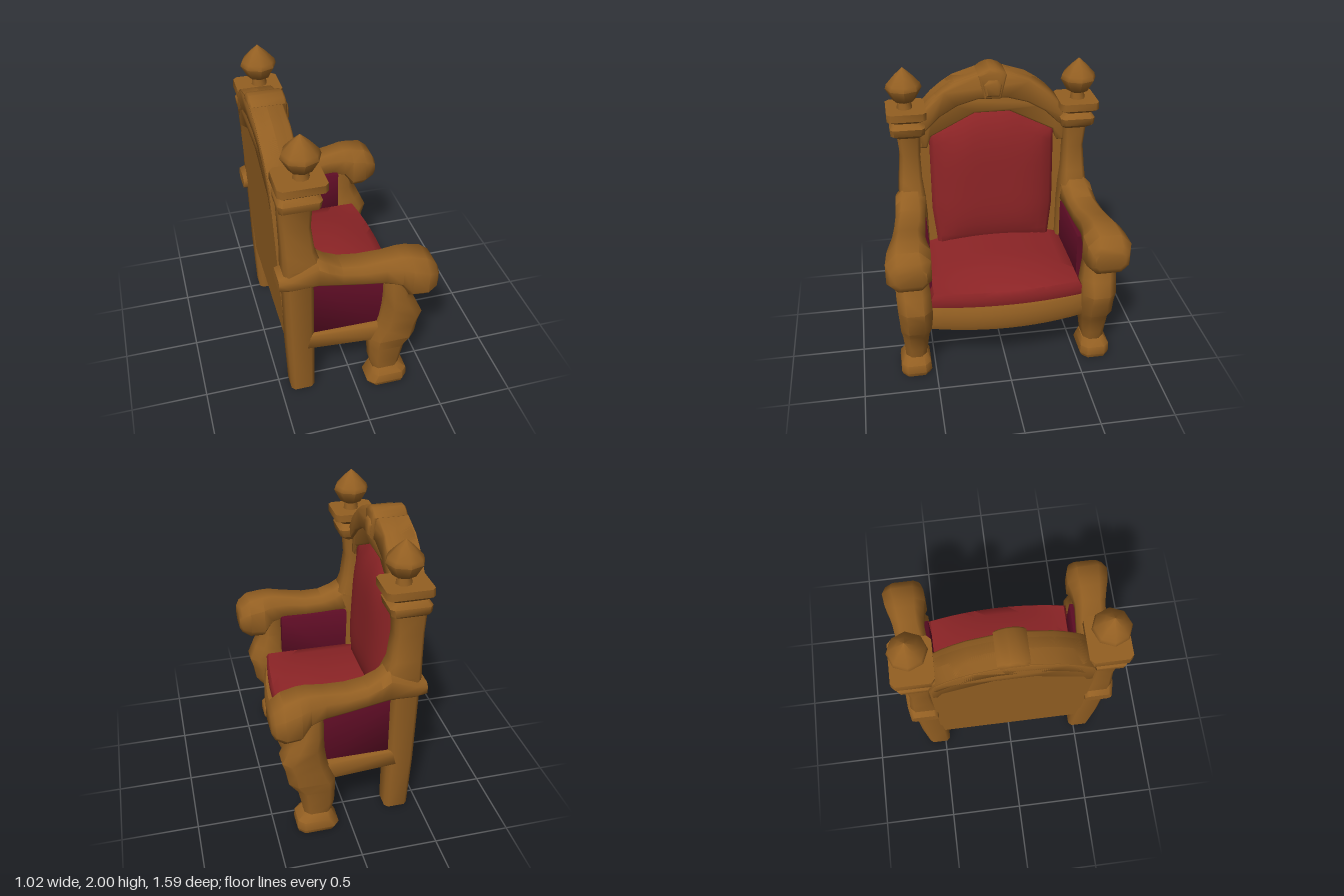
import * as THREE from 'three';
import { toCreasedNormals } from 'three/addons/utils/BufferGeometryUtils.js';

const wood = new THREE.MeshStandardMaterial({ color: 0x935f22 });
wood.name = 'carved wood';
const red = new THREE.MeshStandardMaterial({ color: 0x8c2426 });
red.name = 'red cushion';
const wine = new THREE.MeshStandardMaterial({ color: 0x5c0c24 });
wine.name = 'wine side panel';

// Chamfered-rectangle loft along x or y. Sections are [t, a0, a1, z0, z1],
// where a is the other axis (y or x); side mirrors z.
function loft(axis, side, sections, chamfer = 0.25) {
  const pos = [];
  const rings = sections.map(([t, a0, a1, z0, z1]) => {
    const c = chamfer * Math.min(a1 - a0, z1 - z0);
    const ring = [
      [a1, z0 + c], [a1, z1 - c], [a1 - c, z1], [a0 + c, z1],
      [a0, z1 - c], [a0, z0 + c], [a0 + c, z0], [a1 - c, z0],
    ];
    return ring.map(([a, z]) => (axis === 'x' ? [t, a, z * side] : [a, t, z * side]));
  });
  const flip = (axis === 'y') !== (side < 0);
  const tri = (a, b, c) => (flip ? pos.push(...a, ...c, ...b) : pos.push(...a, ...b, ...c));
  for (let i = 0; i < rings.length - 1; i++) {
    for (let j = 0; j < 8; j++) {
      const k = (j + 1) % 8, p = rings[i], q = rings[i + 1];
      tri(p[j], p[k], q[k]);
      tri(p[j], q[k], q[j]);
    }
  }
  const first = rings[0], last = rings[rings.length - 1];
  for (let j = 1; j < 7; j++) {
    tri(last[0], last[j], last[j + 1]);
    tri(first[0], first[j + 1], first[j]);
  }
  const geo = new THREE.BufferGeometry();
  geo.setAttribute('position', new THREE.Float32BufferAttribute(pos, 3));
  return toCreasedNormals(geo, 0.85);
}

// Moves every vertex of a geometry by a rule
function reshape(geo, rule) {
  const p = geo.attributes.position;
  for (let i = 0; i < p.count; i++) p.setXYZ(i, ...rule(p.getX(i), p.getY(i), p.getZ(i)));
  return toCreasedNormals(geo, 0.85);
}

const lean = (y) => -0.045 * (y - 0.4);

// Leaning board: half outline in (z, y), mirrored, extruded towards +x
function board(half, x0, depth, bevel = 0.012) {
  const mirrored = half.map(([z, y]) => [-z, y]).reverse();
  const shape = new THREE.Shape([...half, ...mirrored].map(([z, y]) => new THREE.Vector2(z, y)));
  const geo = new THREE.ExtrudeGeometry(shape, {
    depth: depth - bevel, bevelEnabled: bevel > 0, bevelThickness: bevel, bevelSize: bevel,
    bevelOffset: -bevel, bevelSegments: 1,
  });
  geo.rotateY(Math.PI / 2);
  return reshape(geo, (x, y, z) => [x0 + x + lean(y), y, z]);
}

export function createModel() {
  const group = new THREE.Group();
  const add = (name, geo, mat) => {
    const mesh = new THREE.Mesh(geo, mat);
    mesh.name = name;
    group.add(mesh);
    return mesh;
  };

  // Backrest: flat board, stepped arch mouldings and keystone
  const outer = [[0.5, 1.6], [0.47, 1.69], [0.4, 1.765], [0.33, 1.82], [0.25, 1.87], [0.09, 1.92]];
  add('backBoard', board([[0.5, 0.39], ...outer], -0.44, 0.1, 0), wood);
  add('innerArch', board([[0.12, 1.65], [0.42, 1.5], [0.45, 1.42], [0.5, 1.42], ...outer], -0.43, 0.165), wood);
  add('outerArch', board([[0.1, 1.755], [0.24, 1.715], [0.36, 1.645], [0.46, 1.55], ...outer], -0.43, 0.195), wood);
  add('keystone', board([[0.055, 1.76], [0.095, 1.92], [0.06, 1.945], [0.02, 1.96]], -0.43, 0.215), wood);
  add('keystoneBoss', board([[0.045, 1.78], [0.06, 1.86], [0.03, 1.89]], -0.38, 0.18), wood);

  // Padded back with an arched top
  add('backCushion', reshape(new THREE.BoxGeometry(1, 1, 1, 4, 12, 12), (u, v, w) => {
    const inset = u > 0.4 ? 0.94 : 1;
    const z = w * (0.8 + 0.06 * Math.min(1, (v + 0.5) * 3)) * inset;
    const top = 1.665 - 0.16 * THREE.MathUtils.clamp((Math.abs(z) - 0.12) / 0.31, 0, 1);
    const y = THREE.MathUtils.lerp(0.64, top, v * inset + 0.5);
    const bulge = 0.065 * (1 - (2 * w) ** 4) * (1 - (2 * v) ** 4);
    return [-0.38 + (u + 0.5) * (0.105 + bulge) + lean(y), y, z];
  }), red);

  // Seat frame with a bowed front
  add('seatFrame', reshape(new THREE.BoxGeometry(1, 1, 1, 4, 4, 12), (u, v, w) => {
    const front = 0.415 - 0.075 * (2 * w) ** 2 - (Math.abs(v) > 0.4 ? 0.015 : 0);
    const y = 0.465 + v * 0.17;
    return [THREE.MathUtils.lerp(-0.42, front, u + 0.5), y, w * 1.06];
  }), wood);

  // Seat cushion, crowned towards the middle
  add('seatCushion', reshape(new THREE.BoxGeometry(1, 1, 1, 12, 4, 12), (u, v, w) => {
    const round = Math.abs(v) > 0.4 ? 0.965 : 1;
    const front = 0.375 - 0.045 * (2 * w) ** 2;
    const x = THREE.MathUtils.lerp(-0.36, front, u * round + 0.5);
    const top = 0.655 + 0.07 * (1 - (2 * w) ** 2) * (1 - Math.max(0, 2 * u) ** 2);
    return [x, THREE.MathUtils.lerp(0.53, top, v + 0.5), w * 1.02 * round];
  }), red);

  for (const side of [1, -1]) {
    const label = side > 0 ? 'left' : 'right';

    // Rear post from floor to capital
    add(label + 'RearPost', loft('y', side, [
      [0, -0.43, -0.27, 0.465, 0.62], [0.4, -0.445, -0.27, 0.46, 0.64],
      [0.93, -0.455, -0.27, 0.47, 0.65], [1.08, -0.46, -0.21, 0.48, 0.66],
      [1.2, -0.46, -0.26, 0.495, 0.65], [1.38, -0.465, -0.28, 0.5, 0.635],
      [1.54, -0.47, -0.27, 0.49, 0.65],
    ], 0.15), wood);
    add(label + 'Capital', loft('y', side, [
      [1.52, -0.47, -0.27, 0.49, 0.65], [1.55, -0.48, -0.23, 0.465, 0.69],
      [1.6, -0.485, -0.22, 0.46, 0.695], [1.635, -0.46, -0.25, 0.495, 0.665],
      [1.67, -0.49, -0.19, 0.45, 0.71], [1.72, -0.485, -0.19, 0.45, 0.71],
    ], 0.1), wood);

    // Pointed finial
    const profile = [[0, 1.7], [0.055, 1.7], [0.045, 1.765], [0.075, 1.78], [0.12, 1.86], [0.11, 1.89], [0.055, 1.95], [0, 2]];
    const finial = new THREE.LatheGeometry(profile.map(([r, y]) => new THREE.Vector2(r, y)), 8);
    add(label + 'Finial', toCreasedNormals(finial, 0.85), wood).position.set(-0.325, 0, 0.585 * side);

    // Sweeping armrest with a scrolled end
    add(label + 'Armrest', loft('x', side, [
      [-0.495, 0.94, 1.03, 0.49, 0.665], [-0.42, 0.93, 1.06, 0.48, 0.68],
      [-0.25, 0.925, 1.15, 0.48, 0.69], [-0.19, 0.925, 1.105, 0.49, 0.695],
      [-0.1, 0.92, 1.065, 0.5, 0.7], [0.02, 0.91, 1.055, 0.51, 0.715],
      [0.17, 0.895, 1.075, 0.525, 0.735], [0.27, 0.86, 1.09, 0.515, 0.76],
      [0.33, 0.775, 1.085, 0.5, 0.78], [0.43, 0.775, 1.065, 0.505, 0.795],
      [0.49, 0.82, 1.015, 0.525, 0.77], [0.51, 0.86, 0.98, 0.54, 0.74],
    ]), wood);

    // Curved front leg with a block foot
    add(label + 'FrontLeg', loft('y', side, [
      [0.1, 0.13, 0.3, 0.56, 0.7], [0.2, 0.105, 0.32, 0.55, 0.705],
      [0.32, 0.1, 0.345, 0.535, 0.715], [0.4, 0.1, 0.405, 0.52, 0.725],
      [0.5, 0.14, 0.42, 0.51, 0.73], [0.58, 0.16, 0.445, 0.51, 0.735],
      [0.68, 0.175, 0.4, 0.515, 0.74], [0.78, 0.18, 0.345, 0.53, 0.74],
      [0.95, 0.18, 0.335, 0.53, 0.72],
    ]), wood);
    add(label + 'FrontFoot', loft('y', side, [
      [0, 0.1, 0.35, 0.545, 0.73], [0.03, 0.08, 0.36, 0.53, 0.74],
      [0.09, 0.11, 0.355, 0.535, 0.735], [0.135, 0.13, 0.3, 0.55, 0.7],
    ], 0.2), wood);

    // Side rail and the fabric panel above it
    add(label + 'SideRail', loft('x', side, [
      [-0.32, 0.385, 0.505, 0.49, 0.64], [0.22, 0.385, 0.535, 0.51, 0.685],
    ], 0.1), wood);
    add(label + 'SidePanel', loft('x', side, [
      [-0.34, 0.45, 0.96, 0.485, 0.61], [0.21, 0.45, 0.94, 0.495, 0.645],
    ], 0.02), wine);
  }
  return group;
}
